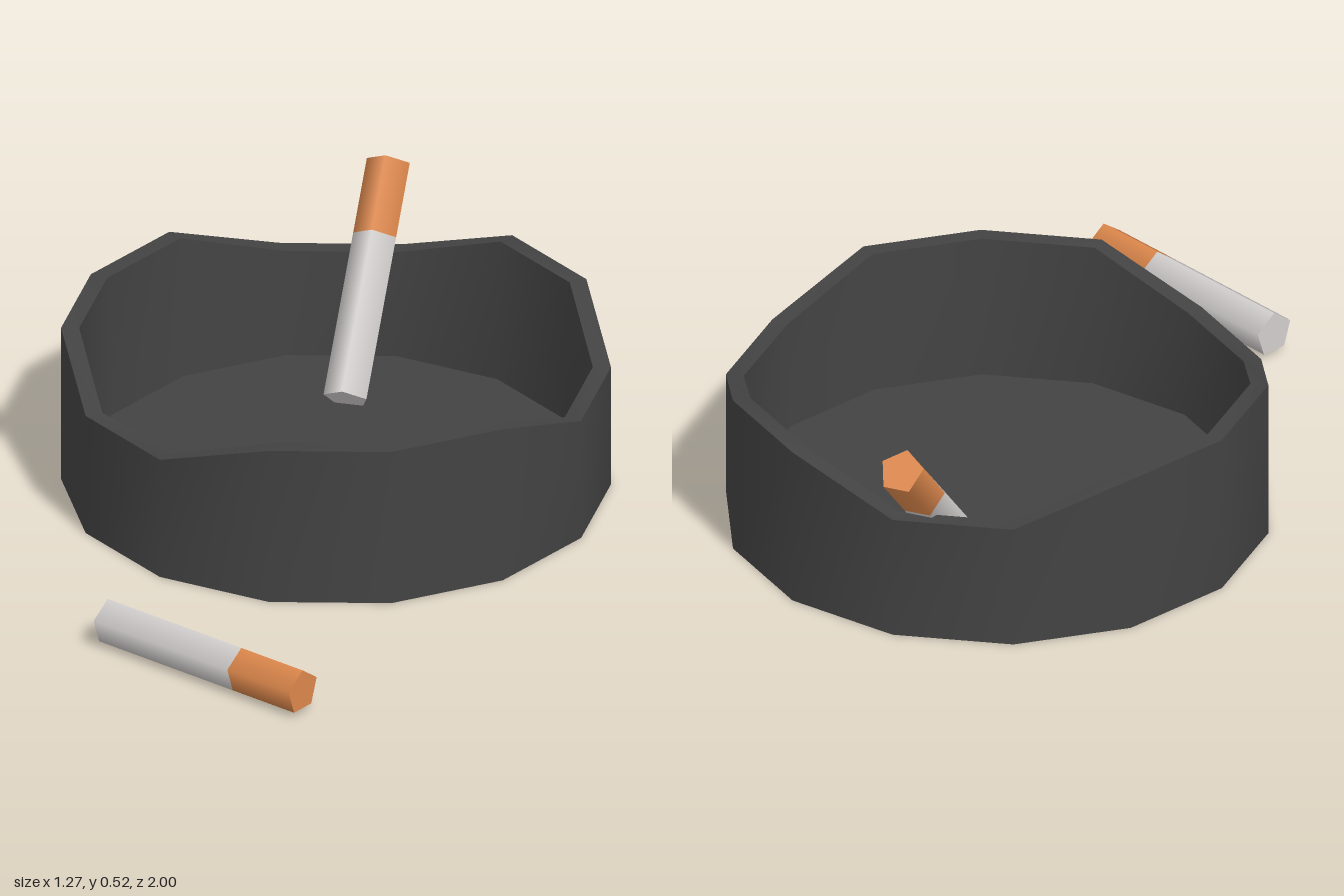
import * as THREE from 'three';

const SIDES = 14;
const HIGH = 0.4, LOW = 0.31;
// rim height at each corner, starting at the front and turning towards +x: three resting notches
const RIM = Array.from({ length: SIDES }, (_, i) => ([3, 4, 7, 8, 12, 13].includes(i) ? LOW : HIGH));

// one corner loop of the bowl
function ring(radius, height) {
  return Array.from({ length: SIDES }, (_, i) => {
    const a = (i / SIDES) * Math.PI * 2;
    return [radius * Math.sin(a), height(i), radius * Math.cos(a)];
  });
}

// smooth closed strip between two loops
function band(a, b) {
  const index = [];
  for (let i = 0; i < SIDES; i++) {
    const j = (i + 1) % SIDES;
    index.push(i, j, SIDES + j, i, SIDES + j, SIDES + i);
  }
  const geo = new THREE.BufferGeometry();
  geo.setAttribute('position', new THREE.Float32BufferAttribute([...a, ...b].flat(), 3));
  geo.setIndex(index);
  geo.computeVertexNormals();
  return geo;
}

export function createModel() {
  const ceramic = new THREE.MeshStandardMaterial({ color: 0x434343 });
  ceramic.name = 'charcoal ceramic';
  const paper = new THREE.MeshStandardMaterial({ color: 0xd3cfcf });
  paper.name = 'white paper';
  const cork = new THREE.MeshStandardMaterial({ color: 0xdd884c });
  cork.name = 'orange filter';

  const add = (parent, name, geo, mat) => {
    const mesh = new THREE.Mesh(geo, mat);
    mesh.name = name;
    parent.add(mesh);
    return mesh;
  };

  const model = new THREE.Group();
  model.name = 'ashtray';

  // bowl
  const bowl = new THREE.Group();
  bowl.name = 'bowl';
  bowl.position.z = -0.25;
  model.add(bowl);
  const FLOOR = 0.04, OUTER = 0.65, INNER = 0.607, BASE = 0.595;
  const foot = ring(OUTER, () => 0);
  const outerRim = ring(OUTER, (i) => RIM[i]);
  const innerRim = ring(INNER, (i) => RIM[i]);
  const floorEdge = ring(BASE, () => FLOOR);
  add(bowl, 'outerWall', band(foot, outerRim), ceramic);
  add(bowl, 'rim', band(outerRim, innerRim), ceramic);
  add(bowl, 'innerWall', band(innerRim, floorEdge), ceramic);
  const disc = (r) => new THREE.CircleGeometry(r, SIDES, Math.PI / 2);
  add(bowl, 'floor', disc(BASE).rotateX(-Math.PI / 2).translate(0, FLOOR, 0), ceramic);
  add(bowl, 'underside', disc(OUTER).rotateX(Math.PI / 2), ceramic);

  // five-sided cigarette along y, filter at the top, ridge towards +z
  const LENGTH = 0.594, FILTER = 0.187, R = 0.055;
  const cigarette = (name) => {
    const g = new THREE.Group();
    g.name = name;
    const body = LENGTH - FILTER;
    add(g, 'paperTube', new THREE.CylinderGeometry(R, R, body, 5).translate(0, -FILTER / 2, 0), paper);
    add(g, 'filter', new THREE.CylinderGeometry(R, R, FILTER, 5).translate(0, body / 2, 0), cork);
    g.rotation.order = 'YXZ';
    model.add(g);
    return g;
  };

  const leaning = cigarette('leaningCigarette');
  leaning.position.set(-0.05, 0.276, -0.758);
  leaning.rotation.x = -Math.PI / 4;

  const lying = cigarette('lyingCigarette');
  lying.position.set(-0.049, 0.06, 0.823);
  lying.rotation.set(-Math.PI / 2, THREE.MathUtils.degToRad(-115), 0);

  return model;
}
